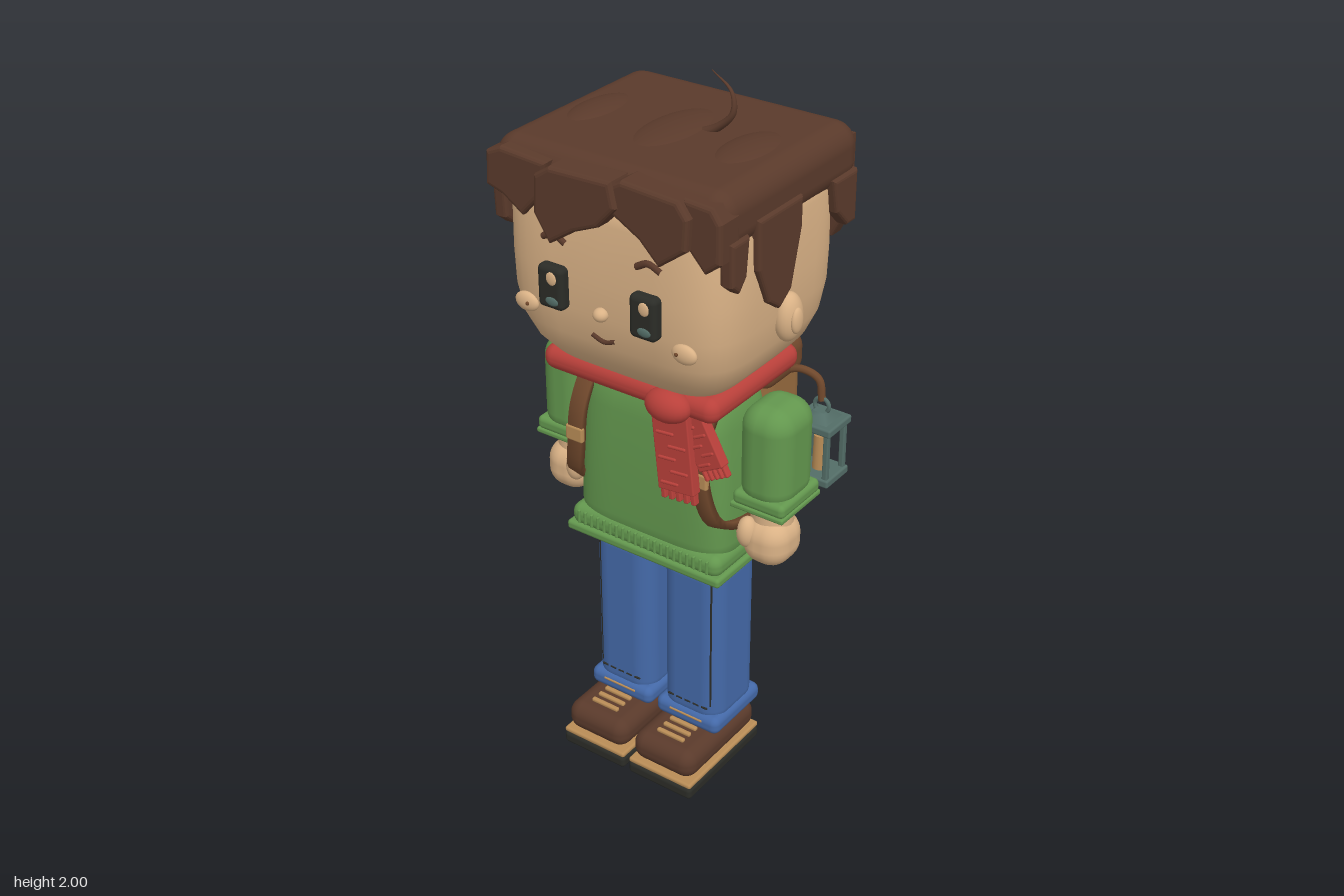
import * as THREE from 'three';
import { RoundedBoxGeometry } from 'three/addons/geometries/RoundedBoxGeometry.js';

const mat = (name, color) => Object.assign(new THREE.MeshStandardMaterial({ color }), { name });
const V = (x, y, z) => new THREE.Vector3(x, y, z);

// Skins a list of equal rings of points and caps both ends
function loft(rings) {
  const n = rings[0].length, pos = [], idx = [], last = rings.length - 1;
  rings.forEach(r => r.forEach(p => pos.push(p.x, p.y, p.z)));
  for (let i = 0; i < last; i++) for (let j = 0; j < n; j++) {
    const k = (j + 1) % n, a = i * n + j, b = i * n + k, c = a + n, d = b + n;
    idx.push(a, c, b, b, c, d);
  }
  for (const i of [0, last]) {
    const c = rings[i].reduce((s, p) => s.add(p), V(0, 0, 0)).divideScalar(n), ci = pos.length / 3;
    pos.push(c.x, c.y, c.z);
    for (let j = 0; j < n; j++) {
      const a = i * n + j, b = i * n + (j + 1) % n;
      if (i === 0) idx.push(ci, a, b); else idx.push(ci, b, a);
    }
  }
  const g = new THREE.BufferGeometry();
  g.setAttribute('position', new THREE.Float32BufferAttribute(pos, 3));
  g.setIndex(idx);
  g.computeVertexNormals();
  return g;
}

// Rounded-square cross-sections, each [y, halfX, halfZ]
function body(sections, cz, n = 48) {
  const sp = v => Math.sign(v) * Math.abs(v) ** 0.4;
  return loft(sections.map(([y, a, b]) => Array.from({ length: n }, (_, j) => {
    const t = (j / n) * Math.PI * 2;
    return V(a * sp(Math.cos(t)), y, cz + b * sp(Math.sin(t)));
  })));
}

// Sweeps an oval (or a flat strap with 4 sides) along a path; size(t) returns [across, thick]
function sweep(points, across, size, sides = 10, steps = 28) {
  const curve = new THREE.CatmullRomCurve3(points.map(p => V(...p)));
  return loft(Array.from({ length: steps + 1 }, (_, i) => {
    const t = i / steps, p = curve.getPoint(t), tan = curve.getTangent(t);
    const u = across.clone().addScaledVector(tan, -across.dot(tan)).normalize();
    const v = u.clone().cross(tan), [a, b] = size(t);
    return Array.from({ length: sides }, (_, j) => {
      const w = ((j + 0.5) / sides) * Math.PI * 2;
      return p.clone().addScaledVector(u, a * Math.cos(w)).addScaledVector(v, b * Math.sin(w));
    });
  }));
}

// Bevelled slab cut from a polygon outline
function slab(pts, depth, bevel = 0.012) {
  return new THREE.ExtrudeGeometry(new THREE.Shape(pts.map(p => new THREE.Vector2(...p))), {
    depth: depth - 2 * bevel, bevelThickness: bevel, bevelSize: bevel, bevelOffset: -bevel, bevelSegments: 3,
  }).translate(0, 0, bevel);
}

export function createModel() {
  const root = new THREE.Group();
  const skin = mat('skin', 0xdab286), hair = mat('hairBrown', 0x5a3a2b), green = mat('sweaterGreen', 0x63974e);
  const red = mat('scarfRed', 0xb9403a), blue = mat('denim', 0x4469a8), leather = mat('leather', 0x966a3e);
  const strapM = mat('darkLeather', 0x70482c), metal = mat('lanternMetal', 0x536d67);
  const dark = mat('nearBlack', 0x2b2c27), tan = mat('tanTrim', 0xb88c56);

  const add = (name, geo, m, x = 0, y = 0, z = 0) => {
    const o = new THREE.Mesh(geo, m);
    o.name = name;
    o.position.set(x, y, z);
    root.add(o);
    return o;
  };
  const box = (name, m, w, h, d, x, y, z, r = 0.02) => add(name, new RoundedBoxGeometry(w, h, d, 4, r), m, x, y, z);
  const ball = (name, m, a, b, c, x, y, z) => add(name, new THREE.SphereGeometry(1, 24, 16).scale(a, b, c), m, x, y, z);
  const tube = (name, m, pts, r) =>
    add(name, new THREE.TubeGeometry(new THREE.CatmullRomCurve3(pts.map(p => V(...p))), 20, r, 8), m);

  // Head and face
  add('head', body([[1.245, 0.17, 0.14], [1.25, 0.21, 0.17], [1.275, 0.26, 0.215], [1.32, 0.3, 0.25],
    [1.38, 0.325, 0.275], [1.46, 0.338, 0.288], [1.55, 0.341, 0.29], [1.71, 0.34, 0.288], [1.76, 0.32, 0.265]], 0.04), skin);
  ball('nose', skin, 0.02, 0.018, 0.02, 0, 1.475, 0.333);
  tube('mouth', hair, [[-0.035, 1.407, 0.322], [0, 1.396, 0.322], [0.035, 1.407, 0.322]], 0.006);
  for (const s of [-1, 1]) {
    ball('ear', skin, 0.034, 0.066, 0.043, s * 0.345, 1.45, 0.038);
    ball('innerEar', skin, 0.012, 0.035, 0.022, s * 0.374, 1.45, 0.045);
    box('eye', dark, 0.078, 0.115, 0.04, s * 0.138, 1.515, 0.338, 0.015);
    ball('eyeHighlight', skin, 0.016, 0.018, 0.005, s * 0.138 + 0.008, 1.543, 0.357);
    ball('eyeGlint', metal, 0.02, 0.012, 0.005, s * 0.138 + 0.008, 1.482, 0.357);
    ball('cheek', skin, 0.036, 0.026, 0.015, s * 0.238, 1.437, 0.322);
    ball('freckle', strapM, 0.005, 0.005, 0.004, s * 0.225, 1.44, 0.338);
    tube('eyebrow', hair, [[s * 0.105, 1.632, 0.328], [s * 0.14, 1.648, 0.328], [s * 0.175, 1.634, 0.326]], 0.009);
  }

  // Hair cap with soft bumps on top
  box('hairCap', hair, 0.69, 0.16, 0.605, 0, 1.775, 0.0175, 0.06);
  for (const [x, a, b, z] of [[-0.23, 0.06, 0.13, 0.03], [0, 0.08, 0.17, 0.03], [0.215, 0.07, 0.135, 0.03]])
    ball('hairBump', hair, a, 0.025, b, x, 1.841, z);
  // Fringe locks: [front z, outline]
  const fringe = [
    [0.34, [[-0.335, 1.82], [-0.29, 1.84], [-0.15, 1.83], [-0.17, 1.74], [-0.23, 1.675], [-0.29, 1.715], [-0.34, 1.73]]],
    [0.37, [[-0.165, 1.81], [-0.12, 1.84], [0.06, 1.845], [0.075, 1.78], [0.02, 1.72], [-0.05, 1.69], [-0.125, 1.64], [-0.17, 1.71]]],
    [0.357, [[0.045, 1.83], [0.08, 1.85], [0.24, 1.84], [0.27, 1.8], [0.265, 1.72], [0.185, 1.66], [0.13, 1.715], [0.05, 1.76]]],
    [0.335, [[0.24, 1.84], [0.32, 1.835], [0.345, 1.8], [0.345, 1.7], [0.3, 1.665], [0.25, 1.72]]],
  ];
  for (const [z, pts] of fringe) add('fringeLock', slab(pts, 0.085), hair, 0, 0, z - 0.085);
  // Side locks, outlined as [-z, y]
  const sideLocks = [
    [[-0.19, 1.76], [0, 1.76], [0.0, 1.68], [-0.04, 1.53], [-0.09, 1.495], [-0.14, 1.53], [-0.185, 1.63]],
    [[-0.3, 1.74], [-0.225, 1.74], [-0.235, 1.64], [-0.265, 1.605], [-0.295, 1.63]],
    [[0.14, 1.74], [0.25, 1.74], [0.25, 1.6], [0.21, 1.6], [0.16, 1.65]],
  ];
  for (const pts of sideLocks) for (const s of [-1, 1])
    add('sideLock', slab(pts, 0.04, 0.01).rotateY(Math.PI / 2), hair, s > 0 ? 0.315 : -0.355);
  // Back locks: [left x, right x, tip y, z]
  for (const [a, b, y, z] of [[-0.33, -0.17, 1.45, -0.28], [-0.2, -0.03, 1.435, -0.288], [-0.06, 0.1, 1.46, -0.282],
    [0.07, 0.22, 1.48, -0.288], [0.19, 0.33, 1.53, -0.28]])
    add('backLock', slab([[a, 1.82], [b, 1.82], [b, y + 0.08], [b - 0.03, y + 0.02], [a + 0.05, y], [a + 0.015, y + 0.06]], 0.06), hair, 0, 0, z);
  add('hairCurl', sweep([[0.04, 1.835, -0.005], [0.1, 1.865, -0.01], [0.142, 1.91, -0.012], [0.135, 1.96, -0.015], [0.075, 2.0, -0.02]],
    V(0, 0, 1), t => [0.018 * (1 - t) + 0.001, 0.013 * (1 - t) + 0.001]), hair);

  // Sweater
  add('sweater', body([[0.7, 0.23, 0.138], [0.78, 0.241, 0.145], [0.95, 0.234, 0.144], [1.1, 0.222, 0.14],
    [1.16, 0.21, 0.13], [1.19, 0.185, 0.112], [1.205, 0.14, 0.08]], 0.03), green);
  box('hem', green, 0.485, 0.065, 0.3, 0, 0.73, 0.032, 0.028);
  box('hemEdge', green, 0.5, 0.028, 0.312, 0, 0.695, 0.032, 0.01);
  for (let i = 0; i < 21; i++) for (const z of [0.181, -0.117])
    box('hemRib', green, 0.008, 0.04, 0.01, (i - 10) * 0.021, 0.733, z, 0.003);

  // Arms, legs and shoes
  for (const s of [-1, 1]) {
    box('sleeve', green, 0.15, 0.29, 0.18, s * 0.318, 1.058, 0.03, 0.062);
    box('sleeveCuff', green, 0.156, 0.04, 0.182, s * 0.32, 0.935, 0.03, 0.015);
    box('cuffEdge', green, 0.162, 0.016, 0.186, s * 0.318, 0.912, 0.03, 0.006);
    add('wrist', new THREE.CylinderGeometry(0.055, 0.058, 0.1, 24), skin, s * 0.318, 0.87, 0.04);
    box('hand', skin, 0.135, 0.14, 0.145, s * 0.322, 0.805, 0.047, 0.058);
    ball('thumb', skin, 0.028, 0.045, 0.03, s * 0.28, 0.83, 0.1);

    box('trouserLeg', blue, 0.192, 0.54, 0.205, s * 0.115, 0.415, 0.03, 0.055);
    box('trouserCuff', blue, 0.21, 0.055, 0.225, s * 0.114, 0.163, 0.03, 0.022);
    box('legSeam', dark, 0.006, 0.42, 0.006, s * 0.185, 0.43, 0.122, 0.002);
    for (let i = -2; i <= 2; i++) box('legStitch', dark, 0.02, 0.005, 0.006, s * 0.115 + i * 0.028, 0.215, 0.132, 0.002);
    box('cuffStitch', tan, 0.11, 0.007, 0.007, s * 0.115, 0.172, 0.141, 0.003);

    box('sole', dark, 0.212, 0.038, 0.345, s * 0.114, 0.019, 0.098, 0.012);
    box('welt', tan, 0.21, 0.016, 0.342, s * 0.114, 0.045, 0.098, 0.007);
    box('shoe', hair, 0.205, 0.09, 0.335, s * 0.114, 0.096, 0.098, 0.04);
    for (let i = 0; i < 3; i++) box('lace', tan, 0.09, 0.012, 0.014, s * 0.114, 0.145, 0.15 + i * 0.03, 0.005);
  }

  // Scarf with knot and fringed tails
  box('scarfWrap', red, 0.54, 0.07, 0.4, 0, 1.235, 0.045, 0.033);
  ball('scarfKnot', red, 0.065, 0.045, 0.045, 0.138, 1.232, 0.25);
  for (const [w, len, x, tilt, z] of [[0.11, 0.24, 0.13, 0.1, 0.225], [0.08, 0.17, 0.165, 0.5, 0.205]]) {
    const tail = new THREE.Group();
    tail.name = 'scarfTail';
    tail.position.set(x, 1.215, z);
    tail.rotation.z = tilt;
    const part = (name, px, py, pz, ...d) => {
      const o = new THREE.Mesh(new RoundedBoxGeometry(...d, 2, 0.004), red);
      o.name = name;
      o.position.set(px, py, pz);
      tail.add(o);
    };
    part('tailCloth', 0, -len / 2, 0, w, len, 0.032);
    for (let i = 0; i < 5; i++) {
      part('tailFringe', (i - 2) * w * 0.21, -len - 0.01, 0, w * 0.13, 0.04, 0.02);
      part('tailRidge', (i % 2 - 0.5) * w * 0.3, -len * (0.3 + i * 0.15), 0.016, w * 0.5, 0.009, 0.01);
    }
    root.add(tail);
  }

  // Backpack
  box('packBody', leather, 0.38, 0.4, 0.195, 0, 0.972, -0.207, 0.05);
  box('packFlap', strapM, 0.395, 0.125, 0.2, 0, 1.16, -0.207, 0.045);
  box('packPocket', leather, 0.28, 0.16, 0.07, 0, 0.88, -0.31, 0.02);
  box('pocketFlap', strapM, 0.284, 0.05, 0.07, 0, 0.942, -0.312, 0.015);
  box('packStrap', strapM, 0.055, 0.17, 0.025, 0, 1.08, -0.308, 0.008);
  box('packBuckle', tan, 0.085, 0.045, 0.03, 0, 1.07, -0.325, 0.008);
  add('buckleStud', new THREE.CylinderGeometry(0.018, 0.018, 0.03, 16).rotateX(Math.PI / 2), tan, 0, 1.07, -0.355);
  tube('packHandle', strapM, [[-0.06, 1.2, -0.22], [-0.05, 1.265, -0.22], [0, 1.285, -0.22], [0.05, 1.265, -0.22], [0.06, 1.2, -0.22]], 0.013);
  add('badgeRim', new THREE.CylinderGeometry(0.036, 0.036, 0.012, 24).rotateX(Math.PI / 2), metal, 0, 0.868, -0.346);
  add('badge', new THREE.CylinderGeometry(0.028, 0.028, 0.016, 24).rotateX(Math.PI / 2), green, 0, 0.868, -0.347);
  for (const s of [-1, 1]) {
    for (let i = 0; i < 8; i++) box('packStitch', tan, 0.006, 0.018, 0.006, s * 0.15, 0.84 + i * 0.033, -0.304, 0.002);
    add('shoulderStrap', sweep([[s * 0.17, 1.16, -0.14], [s * 0.185, 1.205, -0.03], [s * 0.19, 1.19, 0.12], [s * 0.193, 1.1, 0.185],
      [s * 0.2, 0.98, 0.195], [s * 0.225, 0.87, 0.165], [s * 0.25, 0.835, 0.06], [s * 0.22, 0.82, -0.08], [s * 0.16, 0.81, -0.15]],
    V(1, 0.25 * s, 0), () => [0.032, 0.014], 4, 40), strapM);
    box('strapBuckle', tan, 0.055, 0.045, 0.016, s * 0.198, 1.01, 0.202, 0.006);
  }

  // Lantern hung from the pack
  const lx = 0.283, lz = -0.245;
  tube('lanternHook', strapM, [[0.16, 1.12, -0.22], [0.22, 1.14, -0.235], [0.27, 1.12, lz], [lx, 1.06, lz]], 0.011);
  box('lanternBase', metal, 0.118, 0.024, 0.11, lx, 0.84, lz, 0.006);
  box('lanternRoof', metal, 0.122, 0.024, 0.114, lx, 0.998, lz, 0.006);
  add('lanternCap', new THREE.CylinderGeometry(0.025, 0.06, 0.025, 4, 1).rotateY(Math.PI / 4), metal, lx, 1.02, lz);
  add('lanternRing', new THREE.TorusGeometry(0.022, 0.006, 8, 20), metal, lx, 1.045, lz);
  for (const a of [-1, 1]) for (const b of [-1, 1])
    box('lanternPost', metal, 0.016, 0.15, 0.016, lx + a * 0.045, 0.92, lz + b * 0.042, 0.004);
  add('lanternCandle', new THREE.CylinderGeometry(0.018, 0.02, 0.11, 16), tan, lx, 0.9, lz);

  return root;
}
